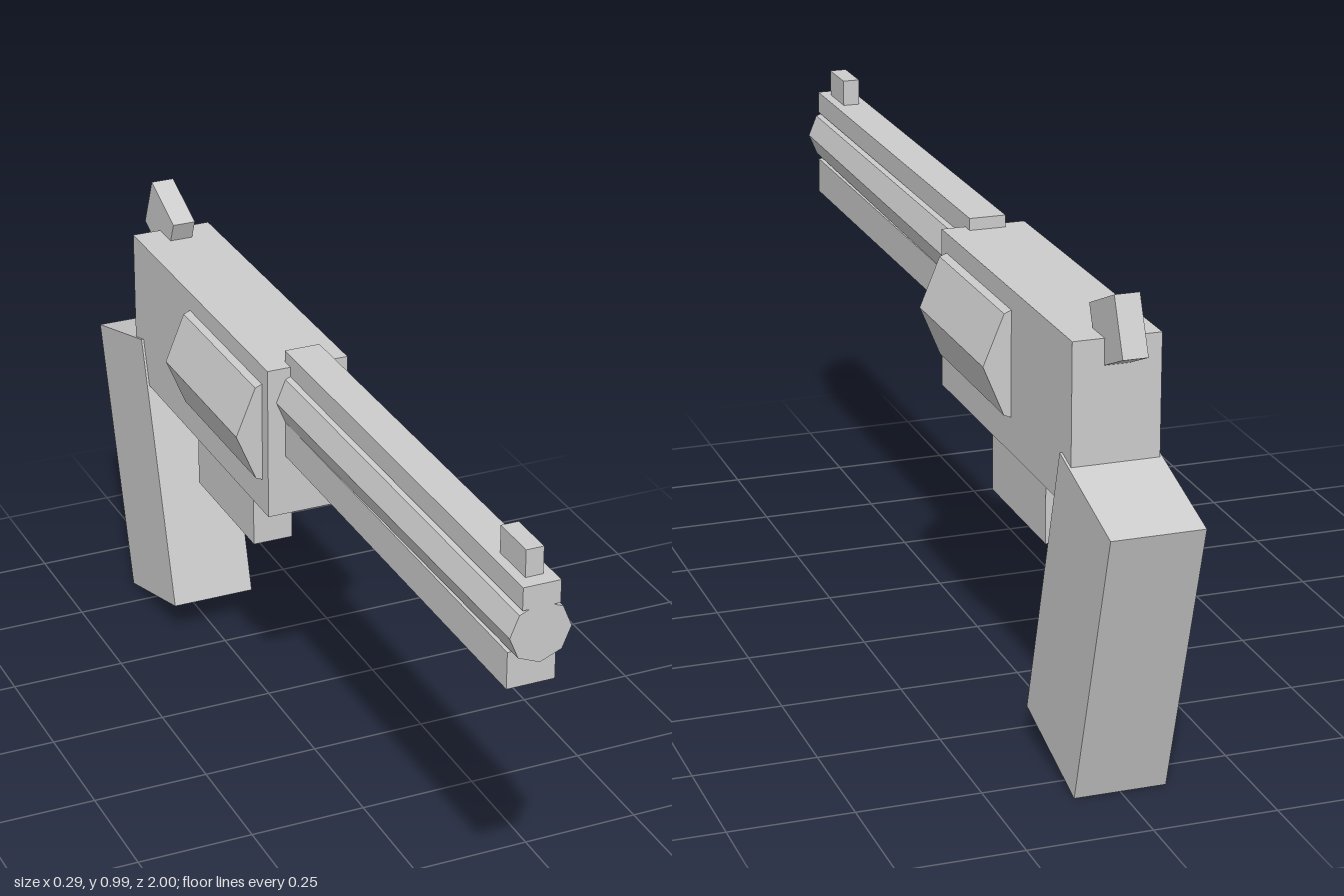
import * as THREE from 'three';

export function createModel() {
  const model = new THREE.Group();
  model.name = 'revolver';
  const grey = new THREE.MeshStandardMaterial({ color: 0xcccccc, flatShading: true });
  grey.name = 'plain grey';

  function add(name, geometry, y, z, tilt = 0) {
    const mesh = new THREE.Mesh(geometry, grey);
    mesh.name = name;
    mesh.position.set(0, y, z);
    mesh.rotation.x = tilt;
    model.add(mesh);
  }
  // Upright block from its bottom/top heights and back/front depths
  function block(name, width, y0, y1, z0, z1) {
    add(name, new THREE.BoxGeometry(width, y1 - y0, z1 - z0), (y0 + y1) / 2, (z0 + z1) / 2);
  }
  // Eight-sided bar lying along z
  function octagon(name, rFront, rBack, y, z0, z1) {
    const geometry = new THREE.CylinderGeometry(rFront, rBack, z1 - z0, 8).rotateX(Math.PI / 2);
    add(name, geometry, y, (z0 + z1) / 2);
  }

  // Body and rotating cylinder
  block('frame', 0.176, 0.566, 0.897, -0.782, -0.035);
  octagon('cylinder', 0.145, 0.145, 0.747, -0.453, -0.065);
  block('triggerGuard', 0.088, 0.4, 0.58, -0.53, -0.22);

  // Tapered barrel with its rib, lug and sight
  octagon('barrel', 0.062, 0.069, 0.823, -0.06, 1);
  block('topRib', 0.076, 0.875, 0.922, -0.063, 1);
  block('underLug', 0.098, 0.698, 0.775, -0.06, 0.968);
  block('frontSight', 0.036, 0.91, 0.978, 0.867, 0.968);

  // Tilted grip and hammer
  add('grip', new THREE.BoxGeometry(0.186, 0.611, 0.275), 0.335, -0.782, -0.281);
  add('hammer', new THREE.BoxGeometry(0.05, 0.12, 0.136), 0.912, -0.787, 0.402);

  return model;
}
